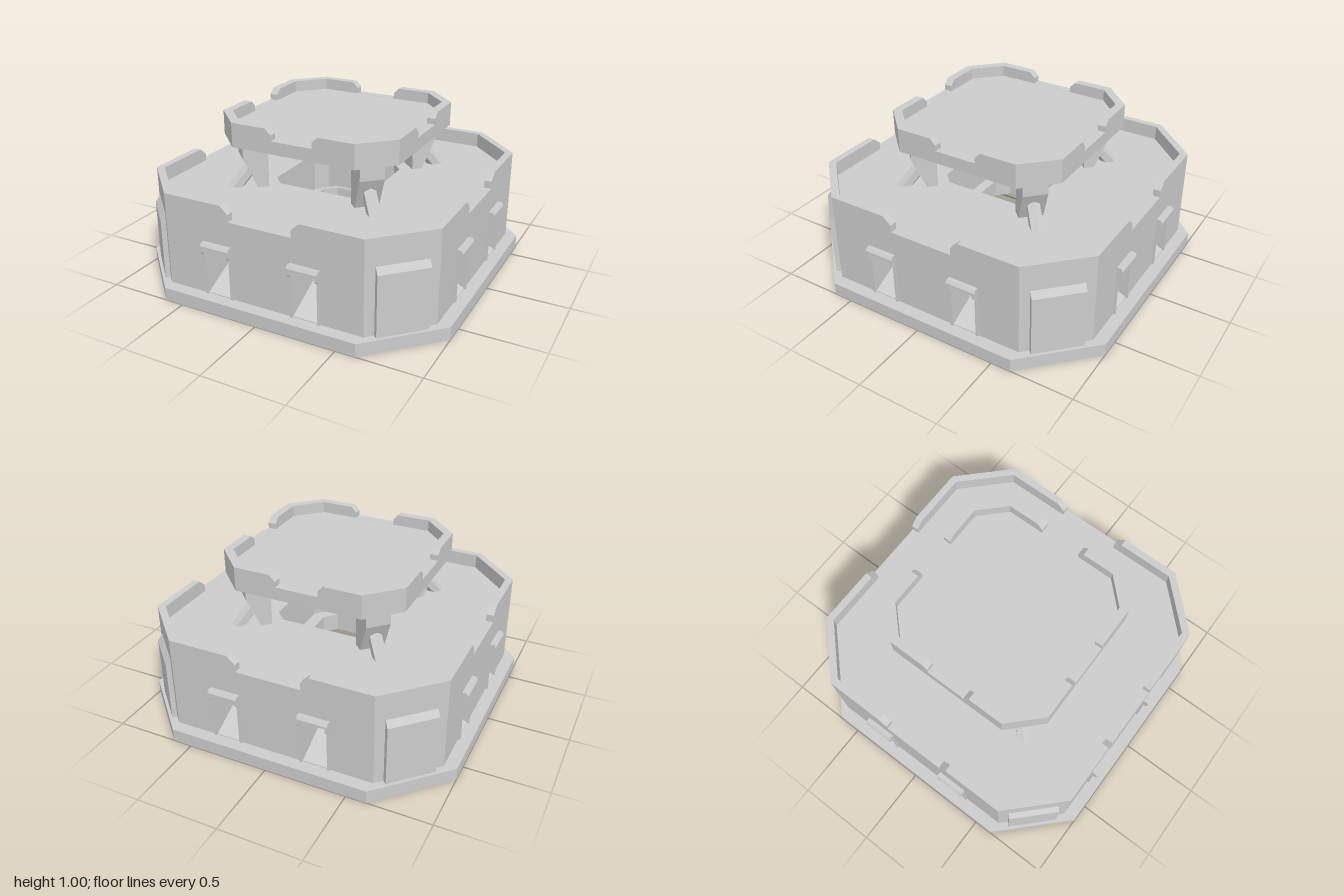
import * as THREE from 'three';

const mat = new THREE.MeshStandardMaterial({ color: 0xcccccc, flatShading: true, side: THREE.DoubleSide });
const MITRE = Math.tan(Math.PI / 8);

function add(parent, name, geo) {
  const mesh = new THREE.Mesh(geo, mat);
  mesh.name = name;
  parent.add(mesh);
  return mesh;
}

const toShape = (pts) => new THREE.Shape(pts.map(([x, y]) => new THREE.Vector2(x, y)));

// square of half-width a whose corners are cut off beyond c
const octagon = (a, c) => [[a, -c], [a, c], [c, a], [-c, a], [-a, c], [-a, -c], [-c, -a], [c, -a]];

// horizontal octagonal plate, with an optional octagonal opening
function plate(parent, name, [a, c], y0, y1, hole) {
  const shape = toShape(octagon(a, c));
  if (hole) shape.holes.push(toShape(octagon(...hole)));
  const geo = new THREE.ExtrudeGeometry(shape, { depth: y1 - y0, bevelEnabled: false });
  geo.rotateX(-Math.PI / 2).translate(0, y0, 0);
  return add(parent, name, geo);
}

// (z, y) profile extruded across x, centred on x
function acrossX(pts, width, x = 0) {
  const geo = new THREE.ExtrudeGeometry(toShape(pts), { depth: width, bevelEnabled: false });
  return geo.translate(0, 0, -width / 2).rotateY(-Math.PI / 2).translate(x, 0, 0);
}

// one mitred wall panel facing +z at distance d
function wallPanel(shape, h, d, t) {
  const geo = new THREE.ExtrudeGeometry(shape, { depth: t, bevelEnabled: false });
  geo.translate(0, 0, d - t);
  const p = geo.attributes.position;
  for (let i = 0; i < p.count; i++) {
    const x = p.getX(i);
    if (p.getZ(i) < d - t / 2 && Math.abs(x) > h - 1e-4) p.setX(i, x - Math.sign(x) * t * MITRE);
  }
  geo.computeVertexNormals();
  return geo;
}

// octagonal wall: four notched sides and four plain corners
function octWall(parent, name, { a, c, t, y0, y1, notch, doors = [] }) {
  const { top, bottom, knee, sill } = notch;
  const group = new THREE.Group();
  group.name = name;
  parent.add(group);
  const h = (a - c) / Math.SQRT2;
  for (let i = 0; i < 4; i++) {
    const side = toShape([[-c, y0], [c, y0], [c, y1], [top, y1], [bottom, knee], [bottom, sill],
      [-bottom, sill], [-bottom, knee], [-top, y1], [-c, y1]]);
    for (const [x, w, b, e] of doors) {
      side.holes.push(toShape([[x - w, b], [x + w, b], [x + w, e], [x - w, e]]));
    }
    add(group, 'sideWall', wallPanel(side, c, a, t)).rotation.y = i * Math.PI / 2;
    const corner = toShape([[-h, y0], [h, y0], [h, y1], [-h, y1]]);
    add(group, 'cornerWall', wallPanel(corner, h, (a + c) / Math.SQRT2, t)).rotation.y = (i + 0.5) * Math.PI / 2;
  }
}

export function createModel() {
  const model = new THREE.Group();
  model.name = 'fortress';

  // plinth and lower storey
  plate(model, 'plinth', [1, 0.62], 0, 0.08, [0.92, 0.61]);
  octWall(model, 'lowerWall', {
    a: 0.925, c: 0.628, t: 0.045, y0: 0.075, y1: 0.65,
    notch: { top: 0.25, bottom: 0.2, knee: 0.605, sill: 0.56 },
    doors: [-0.28, 0.28].map((x) => [x, 0.077, 0.085, 0.38]),
  });
  plate(model, 'deck', [0.885, 0.61], 0.51, 0.559, [0.31, 0.24]);

  // inner floor, inner room and central pit
  plate(model, 'innerFloor', [0.65, 0.58], 0.19, 0.22, [0.5, 0.43]);
  plate(model, 'innerRoomWall', [0.53, 0.45], 0.22, 0.51, [0.5, 0.43]);
  plate(model, 'pitWall', [0.34, 0.26], 0.28, 0.51, [0.31, 0.24]);
  plate(model, 'pitFloor', [0.34, 0.26], 0.27, 0.3, [0.17, 0.1]);
  plate(model, 'pitShaft', [0.19, 0.115], 0.3, 0.38, [0.17, 0.1]);

  // doorways with hoods and enclosed ramps, two on each side
  for (let i = 0; i < 4; i++) {
    const side = new THREE.Group();
    side.name = 'doorways';
    side.rotation.y = i * Math.PI / 2;
    model.add(side);
    add(side, 'floorTab', acrossX([[0.64, 0.19], [0.71, 0.19], [0.71, 0.22], [0.64, 0.22]], 0.12));
    for (const x of [-0.28, 0.28]) {
      add(side, 'doorHood', acrossX([[0.92, 0.38], [0.962, 0.38], [0.962, 0.393], [0.95, 0.41], [0.92, 0.41]], 0.185, x));
      add(side, 'doorRamp', acrossX([[0.925, 0.05], [0.925, 0.085], [0.65, 0.22], [0.65, 0.19]], 0.154, x));
      add(side, 'passageCeiling', acrossX([[0.53, 0.38], [0.885, 0.38], [0.885, 0.392], [0.53, 0.392]], 0.178, x));
      for (const s of [-1, 1]) {
        const bx = x + s * 0.085;
        add(side, 'hoodBracket', acrossX([[0.92, 0.335], [0.945, 0.338], [0.962, 0.355], [0.962, 0.385], [0.92, 0.385]], 0.015, bx));
        add(side, 'doorJamb', acrossX([[0.92, 0.08], [0.936, 0.08], [0.936, 0.34], [0.92, 0.34]], 0.015, bx));
        add(side, 'passageWall', acrossX([[0.53, 0.19], [0.65, 0.19], [0.885, 0.07], [0.885, 0.38], [0.53, 0.38]], 0.012, x + s * 0.083));
      }
    }
  }

  // corner gates, pillars and leaning struts
  for (let i = 0; i < 4; i++) {
    const corner = new THREE.Group();
    corner.name = 'corner';
    corner.rotation.y = (i + 0.5) * Math.PI / 2;
    model.add(corner);
    add(corner, 'cornerGate', acrossX([[1.09, 0.08], [1.128, 0.08], [1.128, 0.45], [1.1, 0.487], [1.09, 0.487]], 0.3));
    add(corner, 'pillar', acrossX([[0.465, 0.555], [0.53, 0.555], [0.617, 0.75], [0.617, 0.86], [0.465, 0.86]], 0.148));
    const strut = add(corner, 'strut', new THREE.CylinderGeometry(0.042, 0.042, 0.2, 6));
    strut.position.set(0, 0.59, 0.625);
    strut.rotation.x = -0.7;
    add(corner, 'cornerFloorTab', acrossX([[0.85, 0.18], [0.9, 0.18], [0.9, 0.22], [0.85, 0.22]], 0.12));
  }

  // upper platform
  plate(model, 'platformFloor', [0.55, 0.38], 0.852, 0.929);
  plate(model, 'platformHatch', [0.145, 0.1], 0.847, 0.853);
  octWall(model, 'platformParapet', {
    a: 0.575, c: 0.393, t: 0.052, y0: 0.852, y1: 1,
    notch: { top: 0.167, bottom: 0.132, knee: 0.965, sill: 0.93 },
  });

  return model;
}
